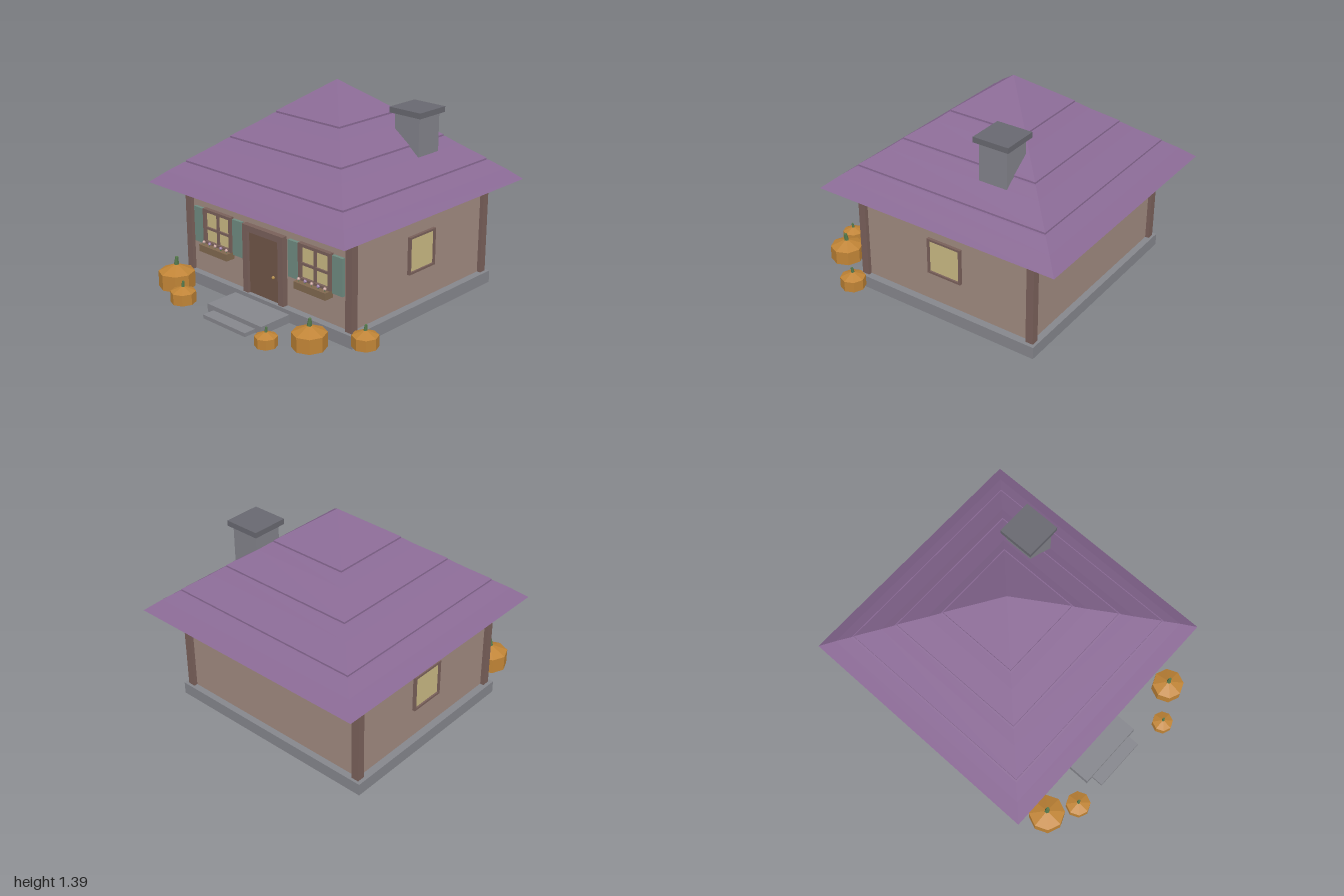
import * as THREE from 'three';

const CX = -0.032, CZ = -0.12; // centre of the house

const mat = (color) => new THREE.MeshStandardMaterial({ color, flatShading: true });
const M = {
  wall: mat(0xa08a80), timber: mat(0x79605a), roof: mat(0x8a6a95), stone: mat(0x85868c),
  chimney: mat(0x82828a), cap: mat(0x686870), door: mat(0x705548), glass: mat(0xc9b983),
  shutter: mat(0x6f8b80), planter: mat(0x80684f), brass: mat(0xb08a4a),
  pumpkin: mat(0xc08436), stem: mat(0x567a4c), bloomA: mat(0xa184ac), bloomB: mat(0xc9a5a0),
};

function add(parent, name, geometry, material, x = 0, y = 0, z = 0) {
  const mesh = new THREE.Mesh(geometry, material);
  mesh.name = name;
  mesh.position.set(x, y, z);
  parent.add(mesh);
  return mesh;
}

// Box given by its minimum and maximum on each axis
function box(parent, name, material, [x0, x1], [y0, y1], [z0, z1]) {
  return add(parent, name, new THREE.BoxGeometry(x1 - x0, y1 - y0, z1 - z0), material,
    (x0 + x1) / 2, (y0 + y1) / 2, (z0 + z1) / 2);
}

function group(parent, name, x, y, z) {
  const g = new THREE.Group();
  g.name = name;
  g.position.set(x, y, z);
  parent.add(g);
  return g;
}

// Four bars around a rectangle centred on the local origin, facing +z
function frame(parent, w, h, t, depth) {
  for (const s of [-1, 1]) {
    box(parent, 'frameSide', M.timber, [s * (w - t) / 2 - t / 2, s * (w - t) / 2 + t / 2], [-h / 2, h / 2], [0, depth]);
    box(parent, 'frameRail', M.timber, [-w / 2 + t, w / 2 - t], [s * (h - t) / 2 - t / 2, s * (h - t) / 2 + t / 2], [0, depth]);
  }
}

function frontWindow(parent, x) {
  const g = group(parent, 'frontWindow', x, 0.427, 0.52);
  frame(g, 0.268, 0.245, 0.02, 0.03);
  box(g, 'glass', M.glass, [-0.115, 0.115], [-0.105, 0.105], [0, 0.01]);
  box(g, 'mullion', M.timber, [-0.009, 0.009], [-0.105, 0.105], [0, 0.022]);
  box(g, 'crossbar', M.timber, [-0.115, 0.115], [-0.02, -0.004], [0, 0.022]);
  for (const s of [-1, 1])
    box(g, 'shutter', M.shutter, [s * 0.186 - 0.043, s * 0.186 + 0.043], [-0.13, 0.115], [0, 0.022]);
  // Planter with a row of flowers
  box(g, 'planter', M.planter, [-0.134, 0.134], [-0.167, -0.12], [0, 0.07]);
  for (let i = -2; i <= 2; i++) {
    add(g, 'flowerStem', new THREE.CylinderGeometry(0.004, 0.004, 0.02, 5), M.stem, i * 0.055, -0.112, 0.048);
    add(g, 'flower', new THREE.IcosahedronGeometry(0.012, 0), i % 2 ? M.bloomA : M.bloomB, i * 0.055, -0.104, 0.048);
  }
}

function pumpkin(parent, x, z, r, h) {
  const g = group(parent, 'pumpkin', x, 0.003, z);
  const body = add(g, 'pumpkinBody', new THREE.SphereGeometry(1, 8, 3), M.pumpkin, 0, h / 2, 0);
  body.scale.set(r / 0.866, h / 2, r / 0.866);
  const stem = add(g, 'pumpkinStem', new THREE.CylinderGeometry(r * 0.09, r * 0.15, r * 0.5, 6), M.stem, r * 0.03, h + r * 0.14, 0);
  stem.rotation.z = -0.12;
}

export function createModel() {
  const model = new THREE.Group();
  model.name = 'cottage';

  // Stone base and steps
  box(model, 'foundation', M.stone, [-0.805, 0.741], [0, 0.083], [-0.805, 0.57]);
  box(model, 'upperStep', M.stone, [-0.28, 0.215], [0, 0.056], [0.55, 0.81]);
  box(model, 'lowerStep', M.stone, [-0.225, 0.16], [0, 0.026], [0.6, 0.895]);

  // Walls with corner posts and top beams
  const hx = 0.722, hz = 0.64;
  box(model, 'walls', M.wall, [CX - hx, CX + hx], [0.083, 0.712], [CZ - hz, CZ + hz]);
  for (const s of [-1, 1]) {
    for (const t of [-1, 1])
      add(model, 'cornerPost', new THREE.BoxGeometry(0.052, 0.629, 0.052), M.timber, CX + s * hx, 0.3975, CZ + t * hz);
    add(model, 'sideBeam', new THREE.BoxGeometry(0.04, 0.032, 2 * hz), M.timber, CX + s * hx, 0.695, CZ);
    add(model, 'endBeam', new THREE.BoxGeometry(2 * hx, 0.032, 0.04), M.timber, CX, 0.695, CZ + s * hz);
  }

  // Tiered square roof: a four-sided lathe of half-widths and heights
  const profile = [
    [0, 0.71], [0.873, 0.71],
    [0.785, 0.786], [0.708, 0.844], [0.697, 0.846], [0.697, 0.858],
    [0.565, 0.957], [0.502, 1.008], [0.491, 1.01], [0.491, 1.022],
    [0.35, 1.125], [0.29, 1.174], [0.279, 1.176], [0.279, 1.188],
    [0, 1.395],
  ].map(([h, y]) => new THREE.Vector2(h * Math.SQRT2, y));
  add(model, 'roof', new THREE.LatheGeometry(profile, 4, Math.PI / 4), M.roof, CX, 0, -0.125);

  // Chimney
  box(model, 'chimney', M.chimney, [0.337, 0.534], [0.9, 1.217], [-0.468, -0.268]);
  box(model, 'chimneyCap', M.cap, [0.31, 0.56], [1.215, 1.252], [-0.493, -0.243]);

  // Door
  const door = group(model, 'door', CX, 0, 0.52);
  for (const s of [-1, 1])
    box(door, 'doorJamb', M.timber, [s * 0.16 - 0.022, s * 0.16 + 0.022], [0.083, 0.548], [0, 0.04]);
  box(door, 'doorLintel', M.timber, [-0.138, 0.138], [0.505, 0.548], [0, 0.04]);
  box(door, 'doorPanel', M.door, [-0.138, 0.138], [0.083, 0.498], [0, 0.02]);
  add(door, 'doorKnob', new THREE.SphereGeometry(0.011, 8, 6), M.brass, 0.084, 0.25, 0.027);

  // Windows
  for (const s of [-1, 1]) {
    frontWindow(model, CX + s * 0.44);
    const side = group(model, 'sideWindow', CX + s * hx, 0.415, CZ);
    side.rotation.y = s * Math.PI / 2;
    frame(side, 0.252, 0.25, 0.014, 0.02);
    box(side, 'glass', M.glass, [-0.112, 0.112], [-0.111, 0.111], [0, 0.008]);
  }

  // Pumpkins: x, z, radius, height
  for (const p of [[-0.64, 0.76, 0.12, 0.212], [-0.445, 0.87, 0.083, 0.146], [0.38, 0.925, 0.071, 0.124],
    [0.6, 0.785, 0.108, 0.19], [0.82, 0.54, 0.083, 0.146]]) pumpkin(model, ...p);

  return model;
}
